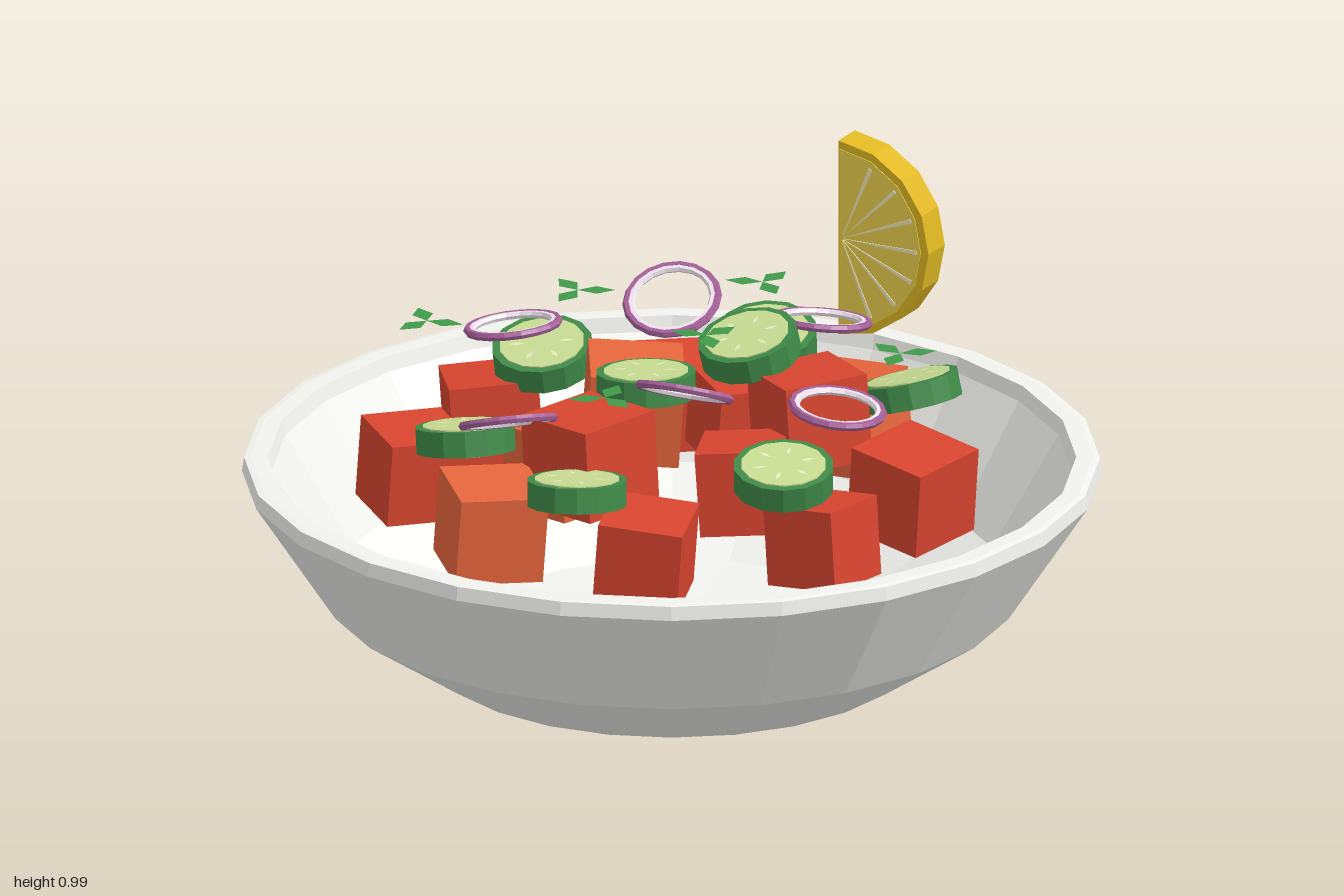
import * as THREE from 'three';

const mat = (color, extra = {}) => new THREE.MeshStandardMaterial({ color, flatShading: true, ...extra });
const MATS = {
  bowl: mat(0xf2f2ee), red: mat(0xd8452f), orange: mat(0xe5653c),
  skin: mat(0x3f8a48), flesh: mat(0xc8dc92), seed: mat(0xe6ebc0, { side: THREE.DoubleSide }),
  onion: mat(0xa45f98), onionInner: mat(0xf0e4ee),
  leaf: mat(0x3f9a4a, { side: THREE.DoubleSide }),
  rind: mat(0xe0b822), pulp: mat(0xecd24c), pith: mat(0xf3ebc0),
};

function add(parent, name, geometry, material, pos = [0, 0, 0], rot = [0, 0, 0]) {
  const mesh = new THREE.Mesh(geometry, material);
  mesh.name = name;
  mesh.position.set(...pos);
  mesh.rotation.set(...rot);
  parent.add(mesh);
  return mesh;
}

function subGroup(parent, name, pos, rot = [0, 0, 0]) {
  const group = new THREE.Group();
  group.name = name;
  group.position.set(...pos);
  group.rotation.set(...rot);
  parent.add(group);
  return group;
}

const polygon = (points) => new THREE.Shape(points.map(([x, y]) => new THREE.Vector2(x, y)));

// Flat polygon extruded evenly to both sides of z = 0
function slab(points, thickness) {
  return new THREE.ExtrudeGeometry(polygon(points), { depth: thickness, bevelEnabled: false }).translate(0, 0, -thickness / 2);
}

// Flat diamond lying level, starting at the origin and pointing along +x
function diamond(length, width) {
  const h = width / 2;
  return new THREE.ShapeGeometry(polygon([[0, 0], [length / 2, -h], [length, 0], [length / 2, h]])).rotateX(-Math.PI / 2);
}

// Half-round outline with its straight edge at x = inset
function halfDisc(r, inset, sides = 8) {
  return Array.from({ length: sides + 1 }, (_, i) => {
    const a = -Math.PI / 2 + (i / sides) * Math.PI;
    return [inset + (r - inset) * Math.cos(a), r * Math.sin(a)];
  });
}

function buildCucumber(parent, [x, y, z, rx, rz], index) {
  const slice = subGroup(parent, 'cucumberSlice', [x, y, z], [rx, 0, rz]);
  add(slice, 'cucumberSkin', new THREE.CylinderGeometry(0.118, 0.118, 0.06, 14), MATS.skin);
  add(slice, 'cucumberFlesh', new THREE.CylinderGeometry(0.1, 0.1, 0.066, 14), MATS.flesh);
  const seed = diamond(0.036, 0.011);
  for (let i = 0; i < 6; i++) {
    const a = index * 0.4 + (i * Math.PI) / 3;
    for (const side of [-1, 1]) {
      add(slice, 'cucumberSeed', seed, MATS.seed, [0.04 * Math.cos(a), side * 0.0345, -0.04 * Math.sin(a)], [0, a, 0]);
    }
  }
}

function buildLemon(parent) {
  const lemon = subGroup(parent, 'lemonWedge', [0.405, 0.75, -0.862], [0, -0.51, 0]);
  add(lemon, 'lemonRind', slab(halfDisc(0.24, 0), 0.078), MATS.rind);
  add(lemon, 'lemonPulp', slab(halfDisc(0.22, 0.004), 0.082), MATS.pulp);
  // Pale membranes fanning out from the middle of the straight edge
  const count = 8;
  for (let i = 1; i < count; i++) {
    const a = -Math.PI / 2 + (i / count) * Math.PI;
    const at = (r, t) => [0.01 + r * Math.cos(t), r * Math.sin(t)];
    add(lemon, 'lemonMembrane', slab([at(0.005, a), at(0.2, a - 0.025), at(0.2, a + 0.025)], 0.086), MATS.pith);
  }
}

export function createModel() {
  const model = new THREE.Group();
  model.name = 'saladBowl';

  // Bowl: outside, upright lip, flat rim, then inside down to the floor
  const profile = [
    [0, 0], [0.43, 0], [0.57, 0.03], [0.81, 0.19], [1, 0.48], [0.995, 0.513], [0.98, 0.515],
    [0.94, 0.515], [0.93, 0.48], [0.77, 0.215], [0.51, 0.07], [0, 0.06],
  ].map(([x, y]) => new THREE.Vector2(x, y));
  add(model, 'bowl', new THREE.LatheGeometry(profile, 24), MATS.bowl);

  // Tomato chunks: x, top height, z, size, turn, colour
  const cubes = [
    [-0.42, 0.57, -0.40, 0.21, 0.12, 'red'], [0.03, 0.57, -0.53, 0.2, 0.27, 'red'],
    [0.40, 0.58, -0.38, 0.22, -0.65, 'orange'], [0.16, 0.6, -0.31, 0.19, 0.4, 'red'],
    [-0.25, 0.58, -0.05, 0.2, 0.75, 'orange'], [-0.09, 0.72, -0.1, 0.22, 0.03, 'orange'],
    [0.32, 0.7, -0.07, 0.21, 0.45, 'red'], [-0.6, 0.57, -0.05, 0.2, 0.38, 'red'],
    [0.17, 0.58, 0.08, 0.2, -0.12, 'red'], [0.56, 0.57, 0.08, 0.21, -0.7, 'red'],
    [-0.19, 0.72, 0.26, 0.22, 0.75, 'red'], [-0.42, 0.59, 0.37, 0.21, 0.25, 'orange'],
    [0.35, 0.56, 0.42, 0.19, -0.6, 'red'], [-0.06, 0.57, 0.52, 0.2, -0.2, 'red'],
  ];
  cubes.forEach(([x, top, z, s, turn, color], i) => {
    const tilt = 0.07 * (i % 2 ? 1 : -1);
    add(model, 'tomatoChunk', new THREE.BoxGeometry(s, s, s), MATS[color], [x, top - s / 2, z], [tilt, turn, -tilt]);
  });

  // Cucumber slices: x, y, z, tilt about x, tilt about z
  [
    [-0.30, 0.62, -0.40, 0.25, 0.1], [0.22, 0.62, -0.49, 0.27, 0.05],
    [0.555, 0.61, -0.19, -0.2, 0.2], [0.18, 0.73, -0.16, 0.2, 0.2],
    [-0.48, 0.61, 0.13, -0.2, 0.05], [-0.06, 0.73, 0.09, -0.1, 0.02],
    [0.26, 0.62, 0.41, 0.18, 0], [-0.22, 0.61, 0.49, -0.15, 0],
  ].forEach((c, i) => buildCucumber(model, c, i));

  // Onion rings: x, y, z, tilt about x, tilt about z
  const outerRing = new THREE.TorusGeometry(0.107, 0.01, 6, 18).rotateX(Math.PI / 2);
  const innerRing = new THREE.TorusGeometry(0.097, 0.009, 6, 18).rotateX(Math.PI / 2);
  [
    [-0.37, 0.74, -0.27, -0.12, 0.12], [0, 0.8, -0.28, 0.48, 0.14],
    [0.35, 0.725, -0.345, -0.17, -0.08], [-0.38, 0.73, 0.345, -0.4, 0.1],
    [0.03, 0.785, 0.295, -0.42, -0.17], [0.385, 0.725, 0.24, 0.05, -0.12],
  ].forEach(([x, y, z, rx, rz]) => {
    const ring = subGroup(model, 'onionRing', [x, y, z], [rx, 0, rz]);
    add(ring, 'onionSkin', outerRing, MATS.onion);
    add(ring, 'onionFlesh', innerRing, MATS.onionInner);
  });

  // Herb sprigs: three flat diamond leaves each
  const leaf = diamond(0.088, 0.05);
  [
    [-0.22, -0.33, 0], [0.21, -0.385, 0.9], [-0.57, -0.125, 1.8],
    [0.08, -0.03, 0.7], [0.53, 0.09, 0.2], [-0.155, 0.385, 1.2],
  ].forEach(([x, z, turn]) => {
    const sprig = subGroup(model, 'herbSprig', [x, 0.805, z], [0, turn, 0]);
    for (let i = 0; i < 3; i++) add(sprig, 'herbLeaf', leaf, MATS.leaf, [0, 0, 0], [0, (i * 2 * Math.PI) / 3, 0]);
  });

  buildLemon(model);
  return model;
}
